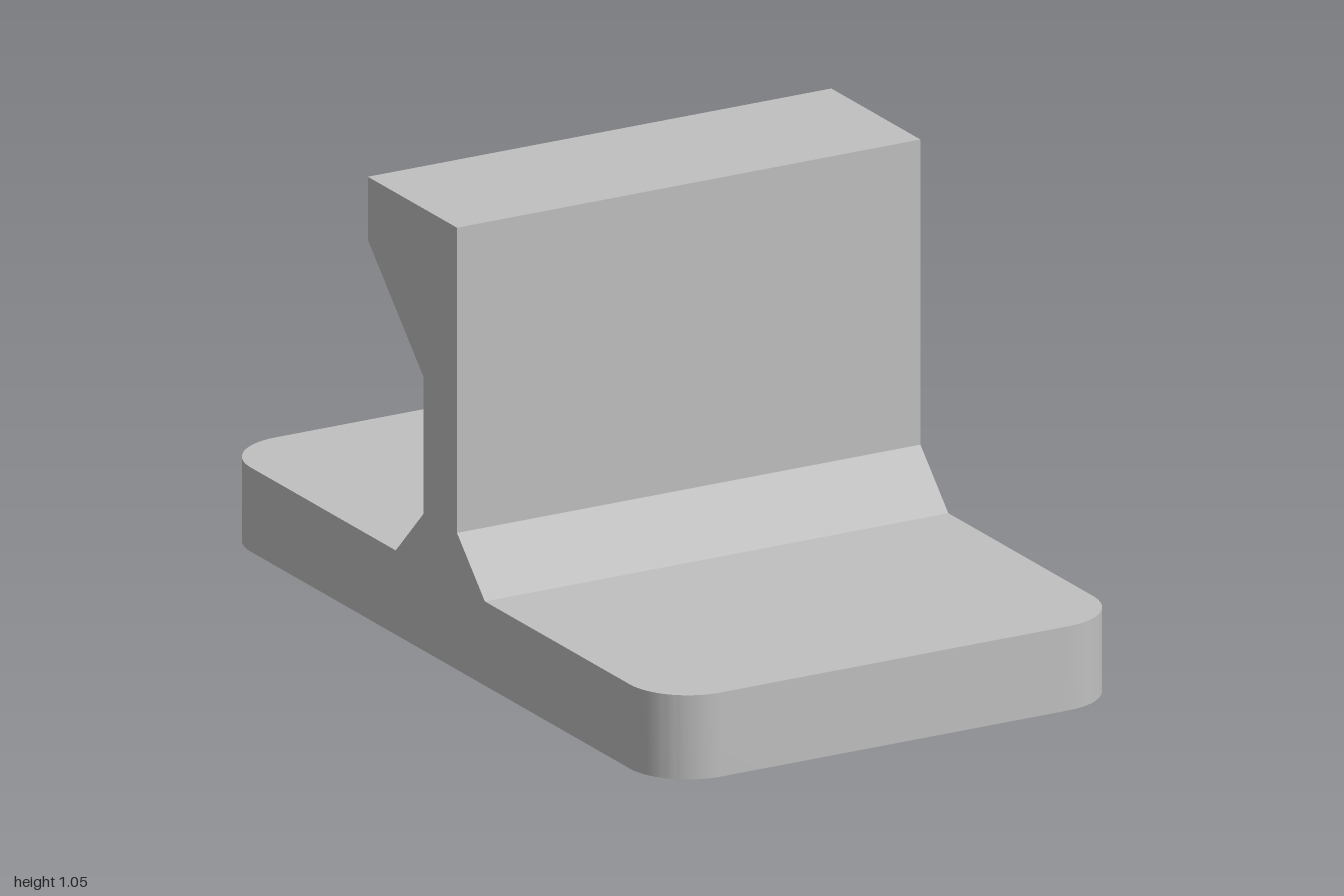
import * as THREE from 'three';
import { toCreasedNormals } from 'three/addons/utils/BufferGeometryUtils.js';

const WIDTH = 1.2, LENGTH = 2, PLATE = 0.2, RADIUS = 0.15;

// Rectangle with rounded corners, centred on the origin
function roundedRect(w, l, r) {
  const x = w / 2 - r, y = l / 2 - r;
  const s = new THREE.Shape();
  s.absarc(x, y, r, 0, Math.PI / 2);
  s.absarc(-x, y, r, Math.PI / 2, Math.PI);
  s.absarc(-x, -y, r, Math.PI, Math.PI * 1.5);
  s.absarc(x, -y, r, Math.PI * 1.5, Math.PI * 2);
  s.closePath();
  return s;
}

export function createModel() {
  const group = new THREE.Group();
  group.name = 'hookedRailBracket';
  const grey = new THREE.MeshStandardMaterial({ color: 0xc0c0c0 });
  grey.name = 'light grey';

  // Base plate with rounded vertical corners
  const plateGeo = new THREE.ExtrudeGeometry(roundedRect(WIDTH, LENGTH, RADIUS), {
    depth: PLATE, bevelEnabled: false, curveSegments: 12,
  });
  plateGeo.rotateX(-Math.PI / 2);
  const plate = new THREE.Mesh(toCreasedNormals(plateGeo, Math.PI / 6), grey);
  plate.name = 'basePlate';
  group.add(plate);

  // Upright wall: chamfered foot, thin web and rear overhang, as (z, y) points
  const profile = new THREE.Shape([
    [0.2, PLATE], [0.075, 0.325], [0.075, 1.05], [-0.325, 1.05],
    [-0.325, 0.9], [-0.075, 0.65], [-0.075, 0.325], [-0.2, PLATE],
  ].map(([z, y]) => new THREE.Vector2(z, y)));
  const wallGeo = new THREE.ExtrudeGeometry(profile, { depth: WIDTH, bevelEnabled: false });
  wallGeo.translate(0, 0, -WIDTH / 2);
  wallGeo.rotateY(-Math.PI / 2);
  const wall = new THREE.Mesh(wallGeo, grey);
  wall.name = 'hookedWall';
  group.add(wall);

  return group;
}
